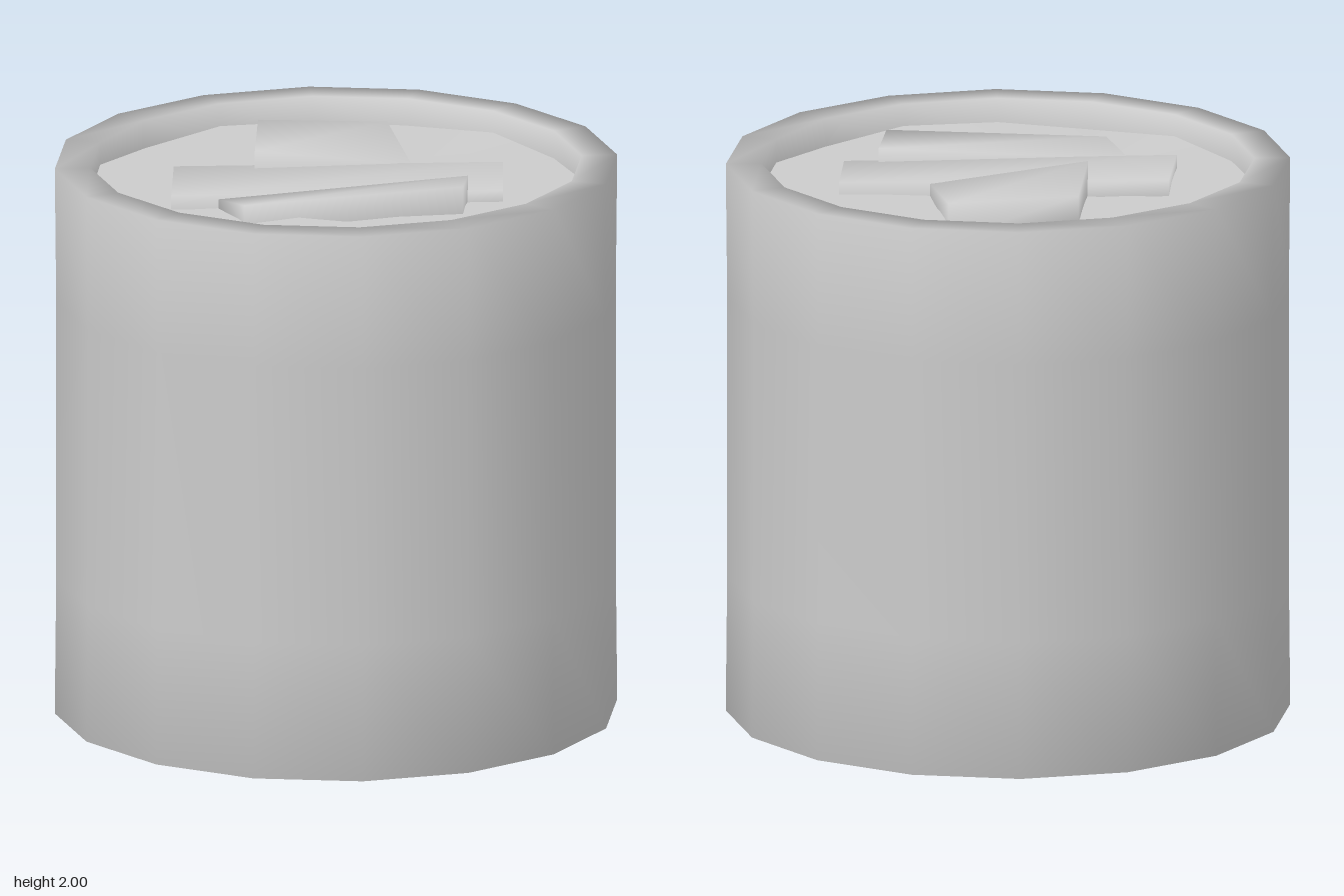
import * as THREE from 'three';

const SIDES = 16;
const TOP = 1.98, MID = 1.0;          // rim height and mirror plane
const material = new THREE.MeshStandardMaterial({ color: 0xcccccc });

// Mesh from points and triangles; dir = -1 mirrors it to the underside
function endMesh(name, points, tris, dir) {
  const pos = points.flatMap(([x, y, z]) => [x, MID + dir * (y - MID), z]);
  const index = tris.flatMap(([a, b, c]) => (dir > 0 ? [a, b, c] : [a, c, b]));
  const geo = new THREE.BufferGeometry();
  geo.setAttribute('position', new THREE.Float32BufferAttribute(pos, 3));
  geo.setIndex(index);
  geo.computeVertexNormals();
  const mesh = new THREE.Mesh(geo, material);
  mesh.name = name;
  return mesh;
}

// Soft-shaded slab: four [x, z, topHeight] corners, counter-clockwise from above
function slab(name, corners, dir) {
  const points = [
    ...corners.map(([x, , z]) => [x, 1.84, z]),
    ...corners.map(([x, y, z]) => [x, y, z]),
  ];
  const tris = [[4, 5, 6], [4, 6, 7]];
  for (let i = 0; i < 4; i++) {
    const j = (i + 1) % 4;
    tris.push([i, j, 4 + j], [i, 4 + j, 4 + i]);
  }
  return endMesh(name, points, tris, dir);
}

// Slightly uneven recessed disc
function endDisc(dir) {
  const points = [[0, 1.885, 0]], tris = [];
  const rings = [0.45, 0.865];
  rings.forEach((r, k) => {
    for (let i = 0; i < SIDES; i++) {
      const a = (i / SIDES) * Math.PI * 2;
      const y = 1.89 + 0.012 * Math.sin(i * 2.4 + k * 2);
      points.push([r * Math.sin(a), y, r * Math.cos(a)]);
    }
  });
  for (let i = 0; i < SIDES; i++) {
    const j = (i + 1) % SIDES;
    const a = 1 + i, b = 1 + j, c = a + SIDES, d = b + SIDES;
    tris.push([0, a, b], [a, c, d], [a, d, b]);
  }
  return endMesh('endDisc', points, tris, dir);
}

export function createModel() {
  const model = new THREE.Group();
  model.name = 'drum';

  // Drum wall with flat rims and short inner lips
  const profile = [
    [0.86, 0.17], [0.86, 0.01], [0.985, 0.01], [0.98, 0.5],
    [0.98, 1.5], [0.985, TOP], [0.86, TOP], [0.86, 1.83],
  ].map(([r, y]) => new THREE.Vector2(r, y));
  const wall = new THREE.Mesh(new THREE.LatheGeometry(profile, SIDES), material);
  wall.name = 'drumWall';
  model.add(wall);

  // Matching raised slabs on the top and the underside
  for (const dir of [1, -1]) {
    const end = new THREE.Group();
    end.name = dir > 0 ? 'topEnd' : 'bottomEnd';
    end.add(
      endDisc(dir),
      slab('squareSlab', [[-0.22, 2.0, -0.19], [0.3, 1.93, 0.0], [0.42, 1.97, -0.41], [0, 1.99, -0.58]], dir),
      slab('longSlab', [[-0.64, 1.935, -0.02], [0.43, 1.925, 0.43], [0.59, 1.935, 0.13], [-0.46, 1.94, -0.34]], dir),
      slab('shortSlab', [[-0.5, 1.95, 0.26], [0.22, 1.99, 0.53], [0.33, 1.975, 0.36], [-0.49, 1.92, 0.05]], dir),
    );
    model.add(end);
  }
  return model;
}
